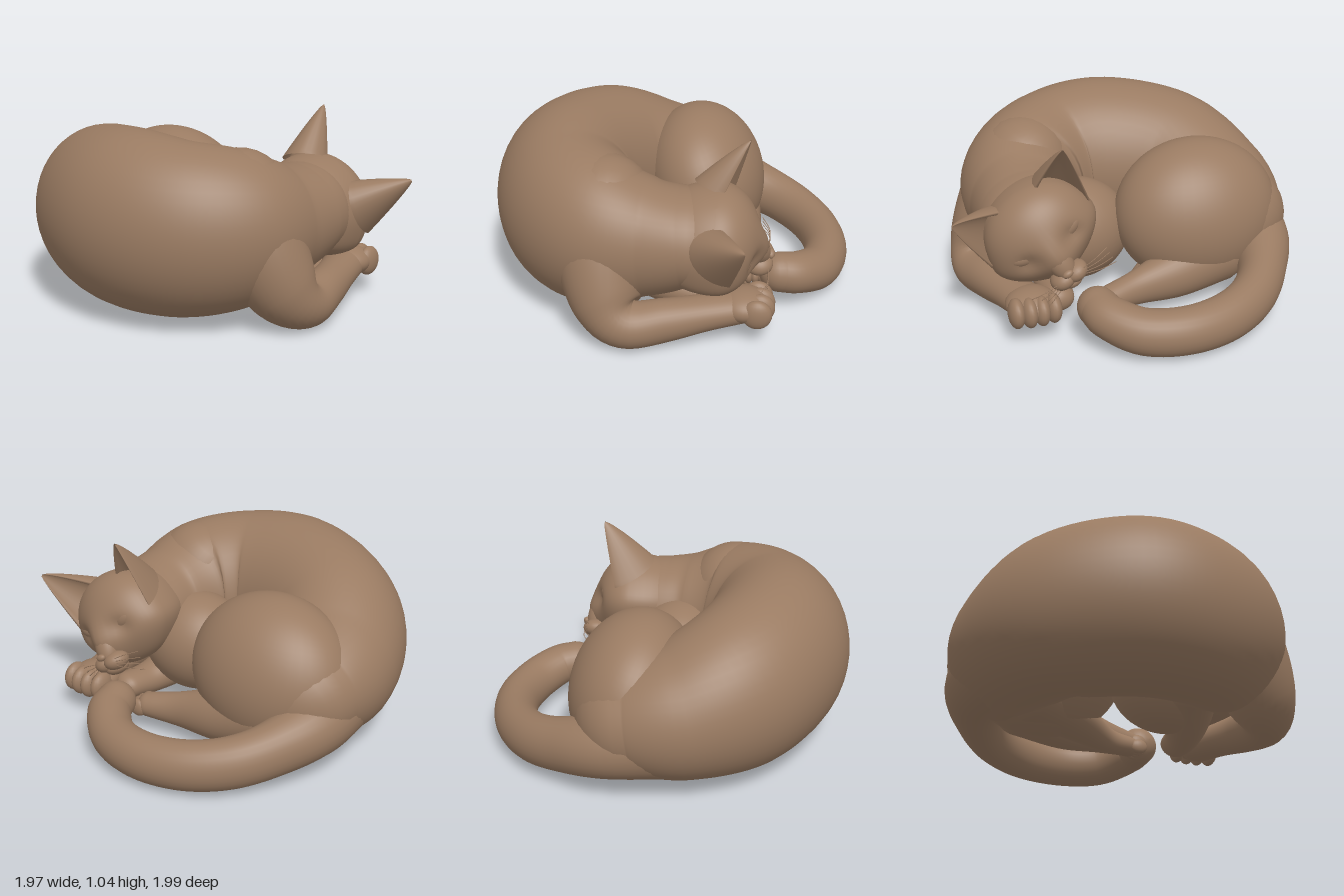
import * as THREE from 'three';

const fur = new THREE.MeshStandardMaterial({ color: 0x9a7b62, side: THREE.DoubleSide });
fur.name = 'brown fur';
const V = (x, y, z) => new THREE.Vector3(x, y, z);

// Surface through a list of closed rings of points
function loft(rings) {
  const n = rings[0].length, pos = [], idx = [];
  rings.forEach(r => r.forEach(p => pos.push(p.x, p.y, p.z)));
  for (let i = 0; i < rings.length - 1; i++) {
    for (let j = 0; j < n; j++) {
      const k = (j + 1) % n, a = i * n, b = a + n;
      idx.push(a + j, a + k, b + j, a + k, b + k, b + j);
    }
  }
  const g = new THREE.BufferGeometry();
  g.setAttribute('position', new THREE.Float32BufferAttribute(pos, 3));
  g.setIndex(idx);
  g.computeVertexNormals();
  return g;
}

// Elliptical sweep with domed ends; keys are [x, y, z, radius across, radius along ref]
function sweep(keys, ref = V(0, 1, 0), steps = 40, sides = 36) {
  const path = new THREE.CatmullRomCurve3(keys.map(k => V(k[0], k[1], k[2])));
  const radii = new THREE.CatmullRomCurve3(keys.map(k => V(k[3], k[4], 0)));
  path.curveType = radii.curveType = 'catmullrom';
  const rings = [];
  const ring = (t, scale, shift) => {
    const c = path.getPoint(t), tan = path.getTangent(t), r = radii.getPoint(t);
    const a = tan.clone().cross(ref).normalize(), b = a.clone().cross(tan).normalize();
    c.addScaledVector(tan, shift * Math.min(r.x, r.y));
    const pts = [];
    for (let j = 0; j < sides; j++) {
      const w = j / sides * Math.PI * 2;
      pts.push(c.clone().addScaledVector(a, Math.cos(w) * r.x * scale)
        .addScaledVector(b, Math.sin(w) * r.y * scale));
    }
    rings.push(pts);
  };
  const cap = 8;
  for (let i = 0; i < cap; i++) {
    const w = (1 - i / cap) * Math.PI / 2;
    ring(0, Math.max(Math.cos(w), 0.001), -Math.sin(w));
  }
  for (let i = 0; i <= steps; i++) ring(i / steps, 1, 0);
  for (let i = 1; i <= cap; i++) {
    const w = i / cap * Math.PI / 2;
    ring(1, Math.max(Math.cos(w), 0.001), Math.sin(w));
  }
  return loft(rings);
}

function add(parent, name, geometry) {
  const m = new THREE.Mesh(geometry, fur);
  m.name = name;
  parent.add(m);
  return m;
}

function ball(parent, name, p, r, detail = 36) {
  const m = add(parent, name, new THREE.SphereGeometry(1, detail, Math.ceil(detail * 0.7)));
  m.position.set(...p);
  m.scale.set(...r);
  return m;
}

const line = (pts, r) =>
  new THREE.TubeGeometry(new THREE.CatmullRomCurve3(pts.map(p => V(...p))), 12, r, 6);

// Cupped ear: outer arc and shallower inner arc, shrinking towards the tip
function earGeometry(s) {
  const base = V(0.205 * s, 0.125, 0.055), tip = V(0.335 * s, 0.39, 0.16);
  const across = V(0.1 * s, -0.105, 0.025), back = V(0.03 * s, 0.06, -0.18);
  const rings = [], n = 14;
  for (let i = 0; i <= 16; i++) {
    const v = i / 16, size = Math.pow(1 - v, 0.85) + 0.04;
    const c = base.clone().lerp(tip, v), pts = [];
    for (let j = 0; j < 2 * n; j++) {
      const inner = j >= n, w = (inner ? 2 * n - 1 - j : j) / (n - 1) * Math.PI;
      pts.push(c.clone().addScaledVector(across, Math.cos(w) * size * (inner ? 0.9 : 1))
        .addScaledVector(back, Math.sin(w) * size * (inner ? 0.6 : 0.95)));
    }
    rings.push(pts);
  }
  return loft(rings);
}

// Local head frame: x sideways, y to the crown, z to the nose
function makeHead() {
  const head = new THREE.Group();
  head.name = 'head';
  const skull = new THREE.SphereGeometry(1, 56, 40), p = skull.attributes.position;
  for (let i = 0; i < p.count; i++) {
    const x = p.getX(i), y = p.getY(i), z = p.getZ(i);
    const cheek = 1 + 0.08 * Math.exp(-Math.pow((y + 0.3) / 0.35, 2));
    const socket = z > 0 ? 0.03 * Math.exp(-(Math.pow((Math.abs(x) - 0.42) / 0.18, 2) + Math.pow((y + 0.1) / 0.2, 2))) : 0;
    const snout = z > 0 ? 0.06 * Math.exp(-(Math.pow(x / 0.28, 2) + Math.pow((y + 0.4) / 0.5, 2))) : 0;
    p.setXYZ(i, x * 0.3 * cheek, y * 0.265, z * (z > 0 ? 0.225 : 0.38) + (snout - socket) * Math.min(1, 3 * z));
  }
  skull.computeVertexNormals();
  add(head, 'skull', skull);
  ball(head, 'noseBridge', [0, -0.09, 0.2], [0.07, 0.13, 0.07]).rotation.x = -0.35;
  ball(head, 'nose', [0, -0.15, 0.283], [0.03, 0.02, 0.02], 20);
  ball(head, 'chin', [0, -0.235, 0.2], [0.065, 0.04, 0.07], 24);
  for (const s of [1, -1]) {
    ball(head, 'muzzlePad', [0.038 * s, -0.195, 0.22], [0.07, 0.052, 0.075], 24);
    ball(head, 'eyelid', [0.135 * s, 0.0, 0.14], [0.085, 0.05, 0.045], 24).rotation.z = 0.3 * s;
    add(head, 'closedEye', line([[0.075 * s, -0.05, 0.182], [0.12 * s, -0.045, 0.172],
      [0.17 * s, -0.02, 0.157], [0.215 * s, 0.025, 0.137]], 0.008));
    add(head, 'ear', earGeometry(s));
    for (let i = 0; i < 4; i++) {
      add(head, 'whisker', line([[0.08 * s, -0.18 - i * 0.013, 0.27],
        [0.16 * s, -0.175 - i * 0.025, 0.27], [0.24 * s, -0.185 - i * 0.035, 0.23]], 0.002));
    }
  }
  head.position.set(0.27, 0.535, 0.495);
  head.quaternion.setFromRotationMatrix(new THREE.Matrix4().makeBasis(
    V(0, 0.5, -0.866), V(0, 0.866, 0.5), V(1, 0, 0)));
  return head;
}

// Row of toes across a direction
function toes(parent, name, c, dir, r) {
  for (let i = 0; i < 4; i++) {
    const k = i - 1.5, inset = Math.abs(k) > 1 ? 0.2 : 0;
    ball(parent, name, [c[0] + dir[0] * k - inset * dir[1], c[1], c[2] + dir[1] * k - inset * dir[0]], r, 20);
  }
}

export function createModel() {
  const cat = new THREE.Group();
  cat.name = 'curledSleepingCat';

  // Trunk, curled from rump to neck
  add(cat, 'body', sweep([
    [0.13, 0.39, -0.63, 0.34, 0.30], [-0.12, 0.425, -0.625, 0.375, 0.37],
    [-0.40, 0.49, -0.47, 0.395, 0.45], [-0.57, 0.52, -0.12, 0.41, 0.48],
    [-0.54, 0.51, 0.2, 0.385, 0.465], [-0.34, 0.51, 0.42, 0.36, 0.42],
    [-0.08, 0.51, 0.48, 0.30, 0.32], [0.1, 0.525, 0.49, 0.29, 0.265]], undefined, 64, 48));
  ball(cat, 'chest', [-0.03, 0.36, 0.22], [0.27, 0.29, 0.32]);
  ball(cat, 'thigh', [0.15, 0.455, -0.44], [0.335, 0.41, 0.465], 48).rotation.z = 0.3;

  // Tail wrapped round to the front paw
  add(cat, 'tail', sweep([
    [-0.08, 0.34, -0.72, 0.24, 0.25], [0.24, 0.28, -0.775, 0.185, 0.18],
    [0.49, 0.22, -0.705, 0.135, 0.15], [0.68, 0.175, -0.57, 0.122, 0.14],
    [0.81, 0.15, -0.37, 0.12, 0.135], [0.86, 0.143, -0.13, 0.12, 0.13],
    [0.815, 0.15, 0.09, 0.12, 0.125], [0.70, 0.19, 0.235, 0.118, 0.115],
    [0.60, 0.21, 0.275, 0.11, 0.11]], undefined, 56, 28));

  // Front legs, folded under the chin
  const zAxis = V(0, 0, 1);
  add(cat, 'frontLeg', sweep([
    [-0.33, 0.66, 0.42, 0.27, 0.27], [-0.33, 0.43, 0.565, 0.24, 0.24],
    [-0.28, 0.22, 0.68, 0.19, 0.195], [-0.18, 0.13, 0.74, 0.13, 0.14],
    [0.02, 0.145, 0.71, 0.115, 0.115], [0.22, 0.165, 0.65, 0.095, 0.11],
    [0.42, 0.18, 0.58, 0.085, 0.12]], zAxis));
  ball(cat, 'frontPaw', [0.42, 0.19, 0.585], [0.14, 0.085, 0.14]);
  toes(cat, 'frontToe', [0.505, 0.185, 0.585], [0, 0.066], [0.08, 0.082, 0.045]);
  add(cat, 'tuckedFrontLeg', sweep([
    [-0.2, 0.28, 0.3, 0.16, 0.17], [0.0, 0.18, 0.36, 0.12, 0.13],
    [0.18, 0.14, 0.4, 0.09, 0.1], [0.34, 0.15, 0.42, 0.075, 0.09]], zAxis));

  // Hind legs, feet reaching forward inside the tail
  add(cat, 'hindLeg', sweep([
    [0.28, 0.26, -0.5, 0.19, 0.19], [0.35, 0.2, -0.25, 0.14, 0.15],
    [0.40, 0.17, -0.02, 0.085, 0.10], [0.45, 0.16, 0.16, 0.072, 0.07]]));
  toes(cat, 'hindToe', [0.45, 0.15, 0.21], [0.036, 0], [0.028, 0.05, 0.055]);
  add(cat, 'tuckedHindLeg', sweep([
    [0.08, 0.24, -0.5, 0.2, 0.17], [0.2, 0.17, -0.25, 0.14, 0.11],
    [0.32, 0.12, -0.02, 0.075, 0.07], [0.37, 0.11, 0.14, 0.065, 0.055]]));
  toes(cat, 'tuckedHindToe', [0.37, 0.1, 0.19], [0.034, 0], [0.026, 0.042, 0.05]);

  cat.add(makeHead());
  return cat;
}
